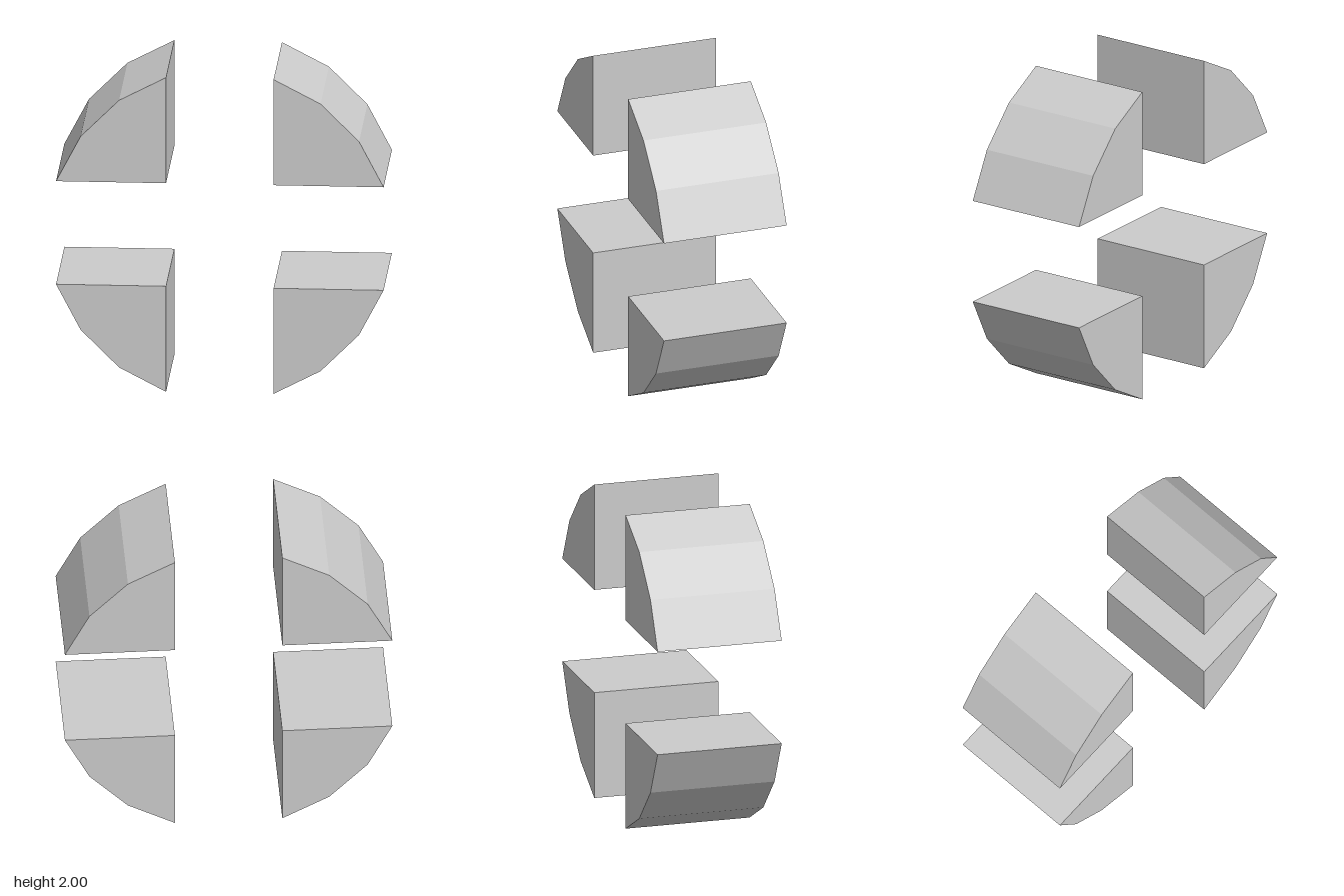
import * as THREE from 'three';

const INNER = 0.328; // half the gap between the quarters
const DEPTH = 0.79;

export function createModel() {
  const model = new THREE.Group();
  model.name = 'quarteredDrum';
  const material = new THREE.MeshStandardMaterial({ color: 0xcccccc, flatShading: true });

  // Quarter profile: square inner corner, three-facet outer rim
  const profile = new THREE.Shape([
    [INNER, INNER], [1, INNER], [0.85, 0.615], [0.615, 0.85], [INNER, 1],
  ].map(([x, y]) => new THREE.Vector2(x, y)));
  const geometry = new THREE.ExtrudeGeometry(profile, { depth: DEPTH, bevelEnabled: false });
  geometry.translate(0, 0, -DEPTH / 2);

  // Four identical quarters turned about the central axis
  const names = ['upperLeftQuarter', 'upperRightQuarter', 'lowerRightQuarter', 'lowerLeftQuarter'];
  names.forEach((name, i) => {
    const quarter = new THREE.Mesh(geometry, material);
    quarter.name = name;
    quarter.position.y = 1;
    quarter.rotation.z = i * Math.PI / 2;
    model.add(quarter);
  });
  return model;
}
